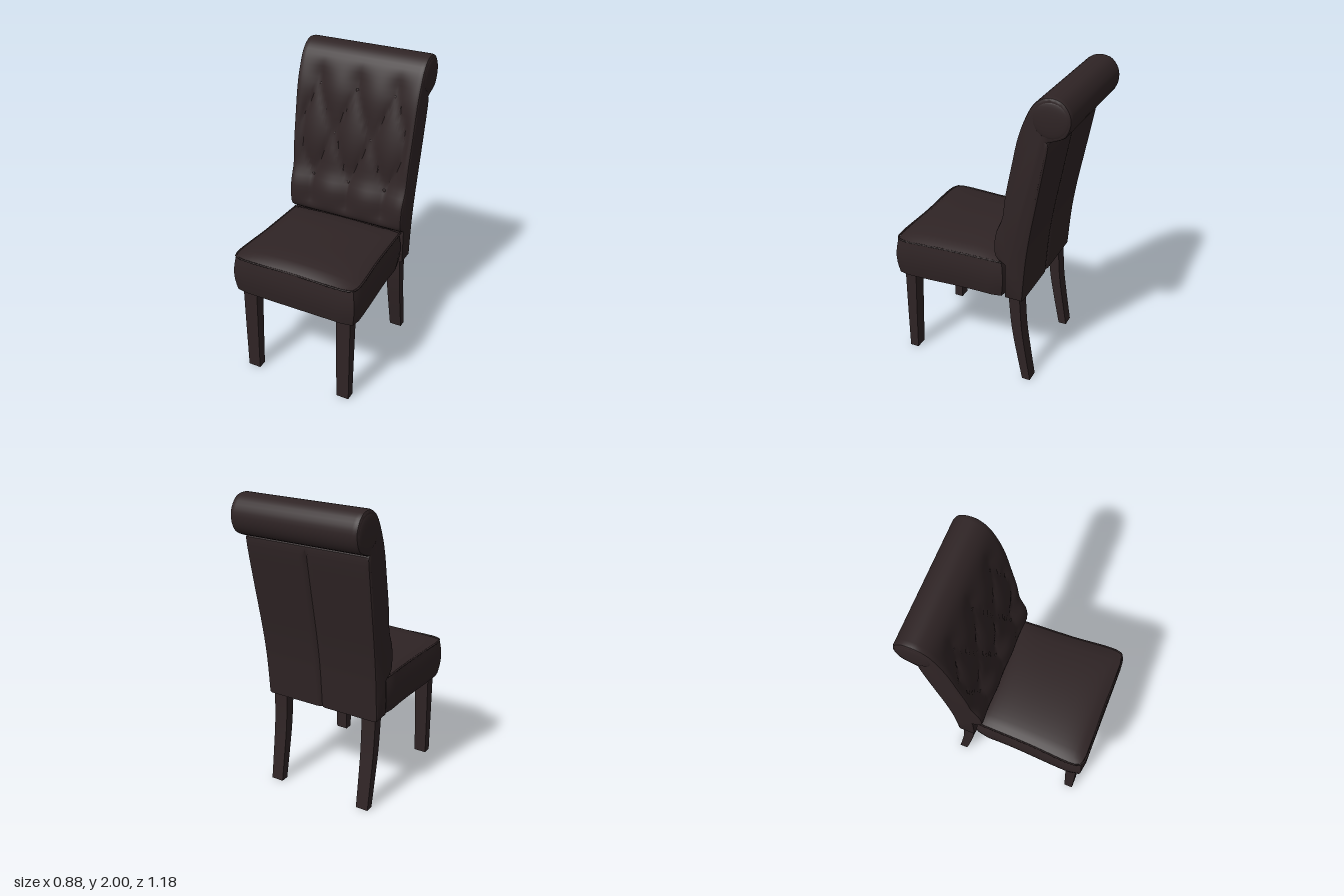
import * as THREE from 'three';
import { mergeVertices, toCreasedNormals } from 'three/addons/utils/BufferGeometryUtils.js';

const upholstery = new THREE.MeshStandardMaterial({ color: 0x2f2425 });
upholstery.name = 'dark brown leather';
const lining = new THREE.MeshStandardMaterial({ color: 0x352b1a });
lining.name = 'olive lining';

// Moves every vertex by a rule, then rebuilds smooth normals with sharp creases.
function sculpt(geometry, rule, crease = 0.7) {
  geometry.deleteAttribute('uv');
  geometry.deleteAttribute('normal');
  const geo = mergeVertices(geometry, 1e-4);
  const pos = geo.attributes.position;
  const v = new THREE.Vector3();
  for (let i = 0; i < pos.count; i++) {
    v.fromBufferAttribute(pos, i);
    rule(v);
    pos.setXYZ(i, v.x, v.y, v.z);
  }
  return toCreasedNormals(geo, crease);
}

function part(name, geometry, material = upholstery) {
  const mesh = new THREE.Mesh(geometry, material);
  mesh.name = name;
  return mesh;
}

const lerp = THREE.MathUtils.lerp;
const clamp = THREE.MathUtils.clamp;
const smooth = THREE.MathUtils.smoothstep;
const toPoints = (list) => list.map(([a, b]) => new THREE.Vector2(a, b));

// Diamond tufting: 0 at the buttons and folds, 1 on the pillows.
function tuft(x, y) {
  const row = (clamp(y, 1.15, 1.75) - 1.75) / 0.6;
  const u = x / 0.26 + row;
  const v = x / 0.26 - row;
  return Math.sqrt(Math.abs(Math.sin(Math.PI * u) * Math.sin(Math.PI * v)));
}

// Backrest: side profile (z, y) with a rolled top, extruded across the width.
function backrestGeometry() {
  const shape = new THREE.Shape();
  shape.moveTo(-0.31, 0.63);
  shape.lineTo(-0.19, 0.63);
  shape.lineTo(-0.19, 0.87);
  shape.splineThru(toPoints([
    [-0.135, 0.91], [-0.12, 0.97], [-0.13, 1.08], [-0.175, 1.2], [-0.195, 1.35],
    [-0.235, 1.55], [-0.27, 1.72], [-0.31, 1.84], [-0.36, 1.94], [-0.42, 1.99],
    [-0.48, 2.0], [-0.54, 1.98], [-0.583, 1.92], [-0.588, 1.85], [-0.56, 1.785],
    [-0.51, 1.755], [-0.455, 1.735],
  ]));
  shape.splineThru(toPoints([[-0.46, 1.69], [-0.41, 1.4], [-0.36, 1.12], [-0.33, 0.9], [-0.31, 0.63]]));
  const width = 0.78;
  const geo = new THREE.ExtrudeGeometry(shape, {
    depth: width, steps: 52, curveSegments: 3,
    bevelThickness: 0.02, bevelSize: 0.015, bevelOffset: -0.015, bevelSegments: 2,
  });
  geo.translate(0, 0, -width / 2).rotateY(-Math.PI / 2);
  return sculpt(geo, (p) => {
    const middle = -0.24 - (p.y - 0.9) * 0.16;
    if (p.z > middle) {
      // tufted front
      const fade = smooth(p.y, 0.9, 1.0) * (1 - smooth(p.y, 1.78, 1.92)) * (1 - smooth(Math.abs(p.x), 0.34, 0.39));
      p.z -= 0.028 * (1 - tuft(p.x, p.y)) * fade;
    } else if (p.y < 1.7) {
      // centre seam on the rear
      p.z += 0.015 * Math.exp(-((p.x / 0.012) ** 2));
    }
    p.x *= lerp(1, 1.045, smooth(p.y, 0.7, 1.85));
  });
}

// Seat: wider at the front, domed on top.
function seatGeometry() {
  const geo = new THREE.BoxGeometry(2, 0.255, 2, 20, 6, 20);
  return sculpt(geo, (p) => {
    const ax = p.x, az = p.z, t = (p.y + 0.1275) / 0.255;
    const bulge = 0.014 * Math.sin(Math.PI * t);
    const front = (az + 1) / 2;
    const half = lerp(0.397, 0.422, smooth(front, 0.2, 0.95));
    p.x = ax * (half + bulge);
    p.z = 0.2 + az * (0.372 + bulge);
    // gently rounded plan corners
    const corner = Math.max(0, Math.abs(ax) + Math.abs(az) - 1.8);
    p.x -= Math.sign(ax) * corner * 0.06;
    p.z -= Math.sign(az) * corner * 0.06;
    const dome = Math.pow((1 - ax * ax) * (1 - Math.pow(az, 4)), 0.6);
    p.y = 0.622 + t * 0.255 + (t > 0.99 ? 0.052 * dome : 0);
  });
}

// Square leg following sections of [y, centre z, depth, width].
function legGeometry(sections) {
  const n = sections.length - 1;
  const curve = new THREE.CatmullRomCurve3(sections.map(([y, z, d]) => new THREE.Vector3(d, y, z)));
  const geo = new THREE.BoxGeometry(1, 1, 1, 1, n * 3, 1);
  return sculpt(geo, (p) => {
    const t = p.y + 0.5;
    const c = curve.getPoint(t);
    p.set(p.x * lerp(0.085, 0.098, t), c.y, c.z + p.z * c.x);
  });
}

// Welt cord around the top edge of the seat.
function seatPiping() {
  const pts = [[-0.394, -0.165], [-0.405, 0.2], [-0.419, 0.54], [-0.395, 0.569], [0, 0.573],
    [0.395, 0.569], [0.419, 0.54], [0.405, 0.2], [0.394, -0.165]]
    .map(([x, z]) => new THREE.Vector3(x, 0.876, z));
  return new THREE.TubeGeometry(new THREE.CatmullRomCurve3(pts, false, 'centripetal'), 60, 0.006, 6);
}

export function createModel() {
  const chair = new THREE.Group();
  chair.name = 'diningChair';

  chair.add(part('backrest', backrestGeometry()));
  chair.add(part('seat', seatGeometry()));
  chair.add(part('seatPiping', seatPiping()));

  // Lining plate under the seat
  const plate = part('seatLining', new THREE.BoxGeometry(0.73, 0.006, 0.66), lining);
  plate.position.set(0, 0.62, 0.19);
  chair.add(plate);

  const frontLeg = legGeometry([[0, 0.513, 0.06], [0.3, 0.508, 0.068], [0.64, 0.5, 0.078]]);
  const rearLeg = legGeometry([[0, -0.333, 0.055], [0.2, -0.297, 0.062], [0.4, -0.265, 0.068], [0.64, -0.246, 0.074]]);
  const button = new THREE.SphereGeometry(0.012, 10, 6).scale(1, 1, 0.5);
  const rollEnd = new THREE.SphereGeometry(0.108, 24, 12).scale(0.14, 1, 1);

  for (const [side, s] of [['left', 1], ['right', -1]]) {
    const front = part(side + 'FrontLeg', frontLeg);
    const rear = part(side + 'RearLeg', rearLeg);
    front.position.x = rear.position.x = s * 0.334;
    const end = part(side + 'RollEnd', rollEnd);
    end.position.set(s * 0.424, 1.872, -0.472);
    chair.add(front, rear, end);
  }

  // Tufting buttons: x, y, z
  const buttons = [[0, 1.75, -0.307], [0.26, 1.75, -0.307], [0.13, 1.45, -0.243], [0, 1.15, -0.185], [0.26, 1.15, -0.185]];
  for (const [x, y, z] of buttons) {
    for (const s of x ? [1, -1] : [1]) {
      const b = part('tuftButton', button);
      b.position.set(s * x, y, z);
      chair.add(b);
    }
  }
  return chair;
}
